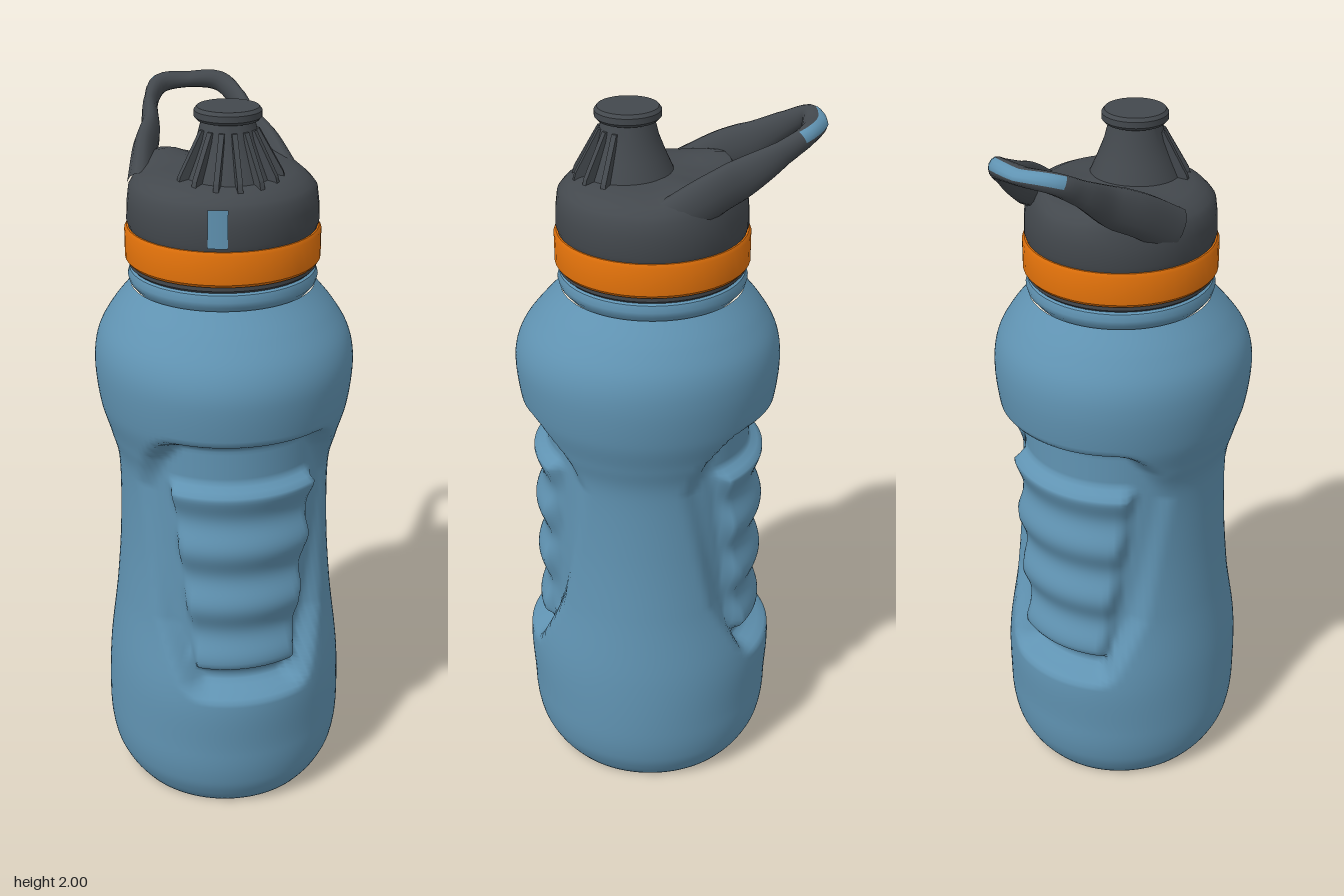
import * as THREE from 'three';
import { mergeVertices, toCreasedNormals } from 'three/addons/utils/BufferGeometryUtils.js';

const smooth = (a, b, v) => THREE.MathUtils.smoothstep(v, a, b);
const lerp = THREE.MathUtils.lerp;
const v2 = (list) => list.map(([x, y]) => new THREE.Vector2(x, y));

// Linear lookup in a short list of [key, value] pairs
function lookup(table, k) {
  if (k <= table[0][0]) return table[0][1];
  for (let i = 1; i < table.length; i++) {
    const [k0, a] = table[i - 1], [k1, b] = table[i];
    if (k <= k1) return lerp(a, b, (k - k0) / (k1 - k0));
  }
  return table[table.length - 1][1];
}

// Bottle: a turned shell with a ribbed grip pressed into the front and back
function bodyGeometry() {
  const outline = new THREE.SplineCurve(v2([
    [0.285, 0], [0.312, 0.04], [0.335, 0.1], [0.345, 0.2], [0.338, 0.38], [0.312, 0.6], [0.297, 0.8],
    [0.296, 1.0], [0.318, 1.1], [0.343, 1.19], [0.354, 1.3], [0.342, 1.38], [0.302, 1.45], [0.248, 1.515],
  ])).getSpacedPoints(150);
  const points = [...v2([[0, 0.05], [0.15, 0.05], [0.22, 0.035], [0.26, 0.006]]), ...outline];
  const geo = new THREE.LatheGeometry(points, 112);
  const p = geo.attributes.position;
  const edge = [[0.4, 0.55], [0.6, 0.88], [1.0, 1.15], [1.1, 0.98], [1.18, 0.75]];
  for (let i = 0; i < p.count; i++) {
    const x = p.getX(i), y = p.getY(i), z = p.getZ(i);
    const R = Math.hypot(x, z);
    let r = R;
    if (y > 0.15 && R > 0.27) {
      const a = Math.atan2(Math.abs(x), Math.abs(z));
      r += 0.012 * Math.cos(a) ** 2 * smooth(0.2, 0.38, y) * (1 - smooth(0.4, 0.6, y));
      const e = lookup(edge, y);
      const recess = smooth(0.385, 0.43, y) * (1 - smooth(1.145, 1.19, y)) * (1 - smooth(e - 0.2, e, a));
      const half = lerp(0.48, 0.7, (y - 0.48) / 0.52);
      const pad = smooth(0.445, 0.485, y) * (1 - smooth(1.015, 1.05, y)) * (1 - smooth(half - 0.04, half + 0.06, a));
      const rib = 0.307 + 0.011 * Math.cos((y - 0.5) / 0.175 * Math.PI * 2);
      r = lerp(r, lerp(0.278, rib, pad), recess);
    }
    const k = R > 1e-6 ? r / R : 1;
    const neck = smooth(1.3, 1.52, y);
    p.setXYZ(i, x * k, y, z * k * lerp(1.035, 1, neck) + lerp(0.05, 0.035, neck));
  }
  geo.deleteAttribute('uv');
  geo.deleteAttribute('normal');
  const merged = mergeVertices(geo, 1e-5);
  merged.computeVertexNormals();
  return merged;
}

// Carry loop: an oval section swept along a bowed path, with a coloured outer tip
function handleGeometry() {
  const half = [[0.2, 1.76, -0.03], [0.172, 1.825, -0.13], [0.14, 1.868, -0.21], [0.122, 1.925, -0.3], [0.085, 1.962, -0.36]];
  const path = new THREE.CatmullRomCurve3([
    ...half, [0, 1.967, -0.378], ...half.slice().reverse().map(([x, y, z]) => [-x, y, z]),
  ].map((q) => new THREE.Vector3(...q)));
  const N = 56, K = 14, pos = [], main = [], tip = [];
  const wide = [[0, 0.036], [0.2, 0.028], [0.34, 0.019], [0.42, 0.026], [0.5, 0.034]];
  const tall = [[0, 0.06], [0.2, 0.055], [0.34, 0.032], [0.5, 0.021]];
  for (let i = 0; i <= N; i++) {
    const t = i / N, m = Math.min(t, 1 - t);
    const c = path.getPointAt(t), T = path.getTangentAt(t);
    const s = new THREE.Vector3(0, 1, 0).cross(T).normalize();
    const u = T.clone().cross(s);
    for (let k = 0; k < K; k++) {
      const a = k / K * Math.PI * 2;
      const q = c.clone().addScaledVector(s, Math.cos(a) * lookup(wide, m)).addScaledVector(u, Math.sin(a) * lookup(tall, m));
      pos.push(q.x, q.y, q.z);
      if (i === N) continue;
      const A = i * K + k, B = i * K + (k + 1) % K;
      const painted = Math.abs(t + 0.5 / N - 0.5) < 0.1 && k >= 4 && k <= 6;
      (painted ? tip : main).push(A, B, A + K, B, B + K, A + K);
    }
  }
  const geo = new THREE.BufferGeometry();
  geo.setAttribute('position', new THREE.Float32BufferAttribute(pos, 3));
  geo.setIndex([...main, ...tip]);
  geo.addGroup(0, main.length, 0);
  geo.addGroup(main.length, tip.length, 1);
  geo.computeVertexNormals();
  return geo;
}

export function createModel() {
  const blue = new THREE.MeshStandardMaterial({ name: 'bottle blue', color: 0x6093b2 });
  const dark = new THREE.MeshStandardMaterial({ name: 'charcoal plastic', color: 0x43484d });
  const orange = new THREE.MeshStandardMaterial({ name: 'orange band', color: 0xdd6f0a });
  const model = new THREE.Group();
  model.name = 'waterBottle';

  const add = (parent, name, geo, mat, x = 0, y = 0, z = 0) => {
    const mesh = new THREE.Mesh(geo, mat);
    mesh.name = name;
    mesh.position.set(x, y, z);
    parent.add(mesh);
    return mesh;
  };
  const turned = (list, crease = 0.6, sides = 48) =>
    toCreasedNormals(new THREE.LatheGeometry(v2(list), sides), crease);

  add(model, 'body', bodyGeometry(), blue);

  // Neck and cap share an axis slightly behind the body's
  const cap = new THREE.Group();
  cap.name = 'cap';
  cap.position.z = 0.035;
  model.add(cap);
  add(cap, 'neckCollar', turned([[0.235, 1.505], [0.252, 1.525], [0.256, 1.54], [0.25, 1.558], [0.235, 1.565], [0.235, 1.6]]), blue);
  add(cap, 'sealRing', turned([[0.22, 1.563], [0.245, 1.563], [0.252, 1.57], [0.252, 1.59]]), dark);
  add(cap, 'band', turned([[0.23, 1.582], [0.256, 1.582], [0.262, 1.59], [0.262, 1.666], [0.256, 1.675], [0.23, 1.675]]), orange);

  // Lid: the dome rises a little towards the loop
  const lid = new THREE.LatheGeometry(v2([
    [0.25, 1.67], [0.256, 1.69], [0.254, 1.74], [0.249, 1.778], [0.238, 1.792], [0.222, 1.808],
    [0.19, 1.822], [0.14, 1.828], [0.07, 1.832], [0, 1.834]]), 48);
  const lp = lid.attributes.position;
  for (let i = 0; i < lp.count; i++) {
    const lift = smooth(1.77, 1.81, lp.getY(i)) * smooth(0.02, 0.2, -lp.getZ(i)) * smooth(0.04, 0.14, Math.abs(lp.getX(i)));
    lp.setY(i, lp.getY(i) + 0.035 * lift);
  }
  add(cap, 'lid', toCreasedNormals(lid, 0.7), dark);
  add(cap, 'lidFleck', new THREE.CylinderGeometry(0.258, 0.258, 0.1, 6, 1, true, -0.36, 0.2), blue, 0, 1.735, 0);

  // Drinking spout with fins fanning over its front
  const spout = new THREE.Group();
  spout.name = 'spout';
  spout.position.z = 0.097;
  model.add(spout);
  add(spout, 'spoutCone', turned([[0.13, 1.8], [0.118, 1.83], [0.098, 1.875], [0.08, 1.92], [0.068, 1.968]]), dark);
  add(spout, 'spoutLip', turned([[0.06, 1.962], [0.08, 1.966], [0.087, 1.974], [0.087, 1.99], [0.08, 1.999], [0, 2.0]]), dark);
  const fin = new THREE.Shape(v2([[0.06, 1.8], [0.152, 1.8], [0.143, 1.835], [0.08, 1.945], [0.06, 1.945]]));
  const finGeo = new THREE.ExtrudeGeometry(fin, { depth: 0.014, bevelEnabled: false }).translate(0, 0, -0.007);
  for (let i = -3; i <= 3; i++) {
    add(spout, 'spoutFin', finGeo, dark).rotation.y = -Math.PI / 2 + i * 0.42;
  }

  add(model, 'carryLoop', handleGeometry(), [dark, blue], -0.01, 0, 0);
  return model;
}
